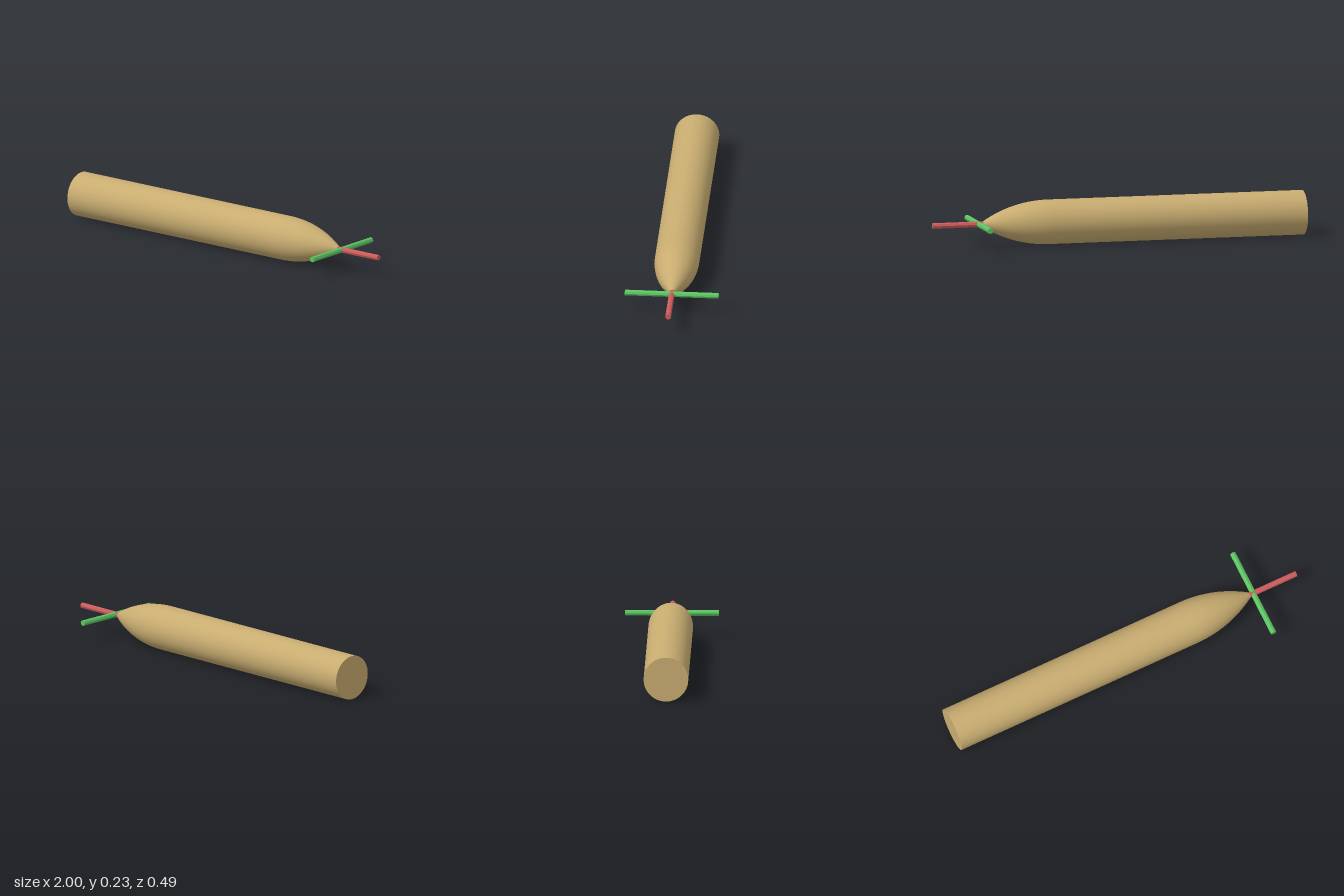
import * as THREE from 'three';

const R = 0.117;          // body radius, also the height of the axis
const SHOULDER = 0.375;   // where the nose starts to taper
const TIP = 0.75;

export function createModel() {
  const group = new THREE.Group();
  const tan = new THREE.MeshStandardMaterial({ name: 'tan', color: 0xc8ac70 });
  const green = new THREE.MeshStandardMaterial({ name: 'green', color: 0x5cc462 });
  const red = new THREE.MeshStandardMaterial({ name: 'red', color: 0xcc5c5c });

  const add = (name, geometry, material, x) => {
    const mesh = new THREE.Mesh(geometry, material);
    mesh.name = name;
    mesh.position.set(x, R, 0);
    group.add(mesh);
    return mesh;
  };

  // Body: cylinder running into a tangent ogive nose, turned about x
  const length = TIP - SHOULDER;
  const arc = (R * R + length * length) / (2 * R);
  const profile = [new THREE.Vector2(R, -1)];
  for (let i = 0; i <= 20; i++) {
    const d = (length * i) / 20;
    const r = Math.sqrt(arc * arc - d * d) - (arc - R);
    profile.push(new THREE.Vector2(i === 20 ? 0 : r, SHOULDER + d));
  }
  add('body', new THREE.LatheGeometry(profile, 64).rotateZ(-Math.PI / 2), tan, 0);

  // Flat rear end
  add('rearCap', new THREE.CircleGeometry(R, 64).rotateY(-Math.PI / 2), tan, -1);

  // Thin rods crossing at the nose tip
  const rod = (l) => new THREE.CylinderGeometry(0.0155, 0.0155, l, 8).toNonIndexed();
  const flat = (g) => { g.computeVertexNormals(); return g; };
  add('crossRod', flat(rod(0.492).rotateX(Math.PI / 2)), green, TIP);
  add('noseRod', flat(rod(0.5).rotateZ(-Math.PI / 2)), red, TIP);

  return group;
}
